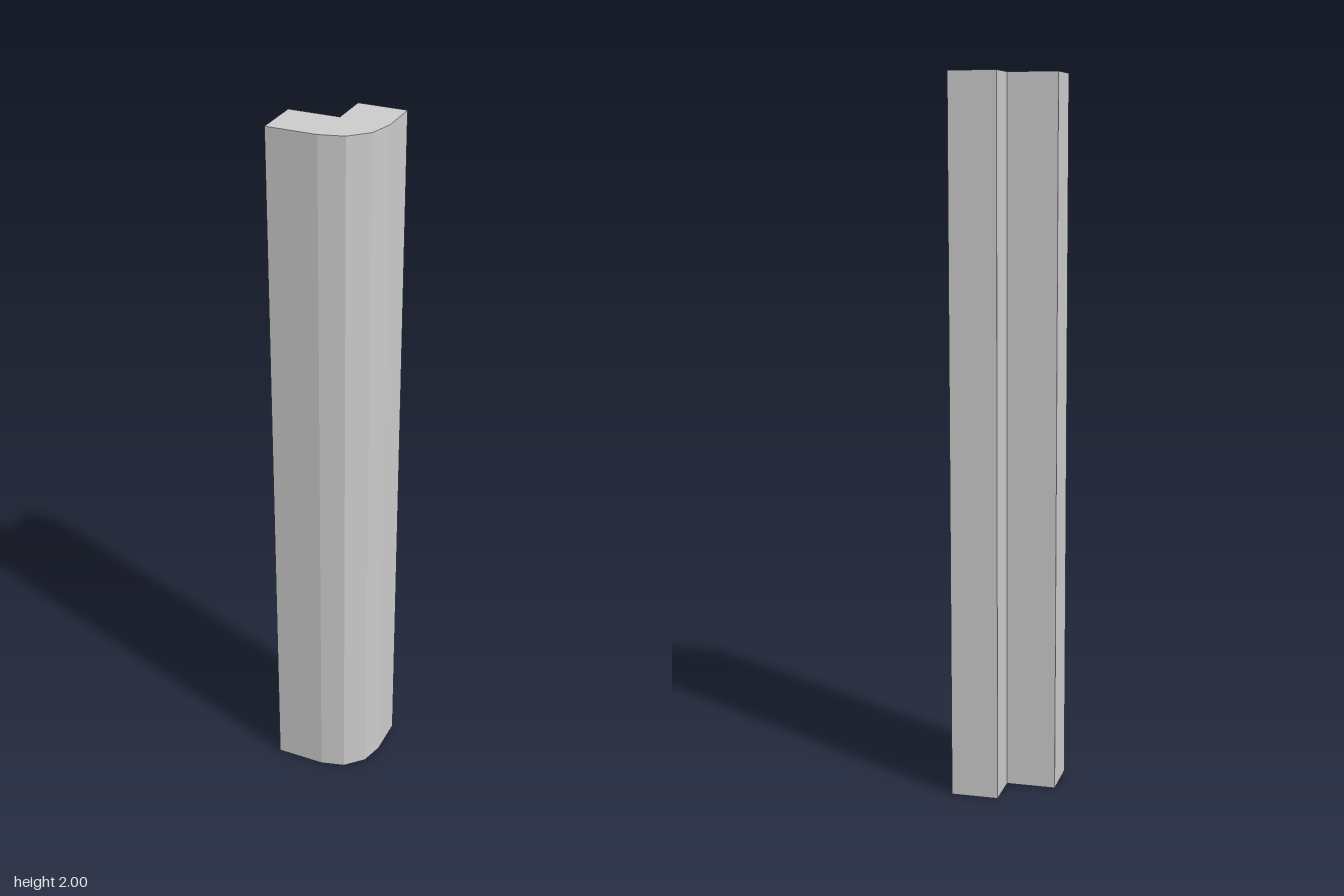
import * as THREE from 'three';

export function createModel() {
  const group = new THREE.Group();
  group.name = 'cornerPost';

  const halfX = 0.1365, halfZ = 0.1225, height = 2;
  const thick = 0.133; // leg thickness and outer corner radius
  const cx = halfX - thick, cz = halfZ - thick; // inner corner

  // L-shaped plan, with shape y pointing to the back (-z)
  const plan = [[-halfX, -cz], [-halfX, -halfZ]];
  // Rounded outer corner in three facets
  for (let i = 0; i <= 3; i++) {
    const a = (i / 3) * Math.PI / 2;
    plan.push([cx + thick * Math.sin(a), -cz - thick * Math.cos(a)]);
  }
  plan.push([halfX, halfZ], [cx, halfZ], [cx, -cz]);

  const shape = new THREE.Shape(plan.map(([x, y]) => new THREE.Vector2(x, y)));
  const geometry = new THREE.ExtrudeGeometry(shape, { depth: height, bevelEnabled: false });
  geometry.rotateX(-Math.PI / 2); // stand upright on y = 0

  const post = new THREE.Mesh(
    geometry,
    new THREE.MeshStandardMaterial({ color: 0xcccccc, flatShading: true })
  );
  post.name = 'post';
  group.add(post);
  return group;
}
